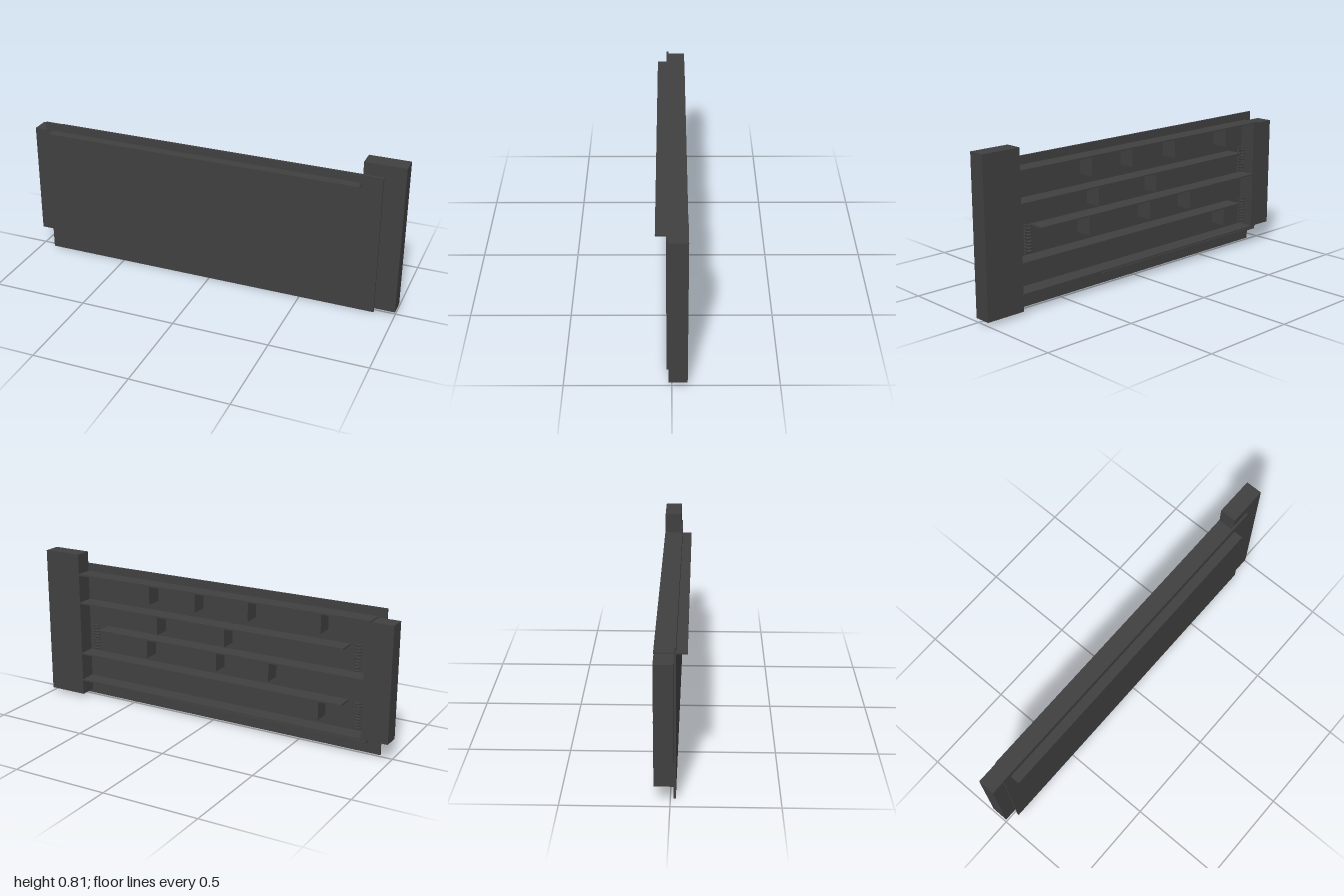
import * as THREE from 'three';

export function createModel() {
  const group = new THREE.Group();
  const material = new THREE.MeshStandardMaterial({ color: 0x404040 });
  const BACK = -0.073, WALL = 0.015; // depth of the space behind the panel

  // Box given by its limits on each axis
  function box(name, x0, x1, y0, y1, z0 = BACK, z1 = WALL) {
    const mesh = new THREE.Mesh(new THREE.BoxGeometry(x1 - x0, y1 - y0, z1 - z0), material);
    mesh.position.set((x0 + x1) / 2, (y0 + y1) / 2, (z0 + z1) / 2);
    mesh.name = name;
    group.add(mesh);
  }

  // Front panel and the two end posts
  box('frontPanel', -0.93, 0.893, 0, 0.745, WALL, 0.025);
  box('tallPost', 0.79, 1, 0.018, 0.81);
  box('shortPost', -1, -0.86, 0.103, 0.697);

  // Shelves: [left end, right end, top height]; the top one passes through the panel as a ledge
  const T = 0.008;
  const shelves = [
    [-0.887, 0.79, 0.703], [-0.752, 0.79, 0.545], [-0.966, 0.673, 0.408],
    [-0.752, 0.79, 0.258], [-0.887, 0.79, 0.105],
  ];
  shelves.forEach(([x0, x1, y], i) =>
    box('shelf' + (i + 1), x0, x1, y - T, y, BACK - 0.002, i === 0 ? 0.075 : WALL));
  box('lowerBoard', -0.887, 0.281, 0.084, 0.093);

  // Short dividers hanging below the shelves
  const dividers = [
    [0.35, 0.077, -0.229, -0.624], [0.306, -0.094], [0.371, -0.048, -0.348], [-0.624],
  ];
  dividers.forEach((row, i) => {
    const top = shelves[i][2] - T;
    for (const x of row) box('divider', x - T, x, top - 0.097, top);
  });

  // Upright coil springs at the open shelf ends
  class Helix extends THREE.Curve {
    getPoint(t, target = new THREE.Vector3()) {
      const a = t * 9 * Math.PI * 2;
      return target.set(0.017 * Math.cos(a), (t - 0.5) * 0.145, 0.017 * Math.sin(a));
    }
  }
  const coil = new THREE.TubeGeometry(new Helix(), 180, 0.0035, 6);
  for (const [x, y] of [[0.72, 0.353], [-0.808, 0.495], [-0.82, 0.2]]) {
    const spring = new THREE.Mesh(coil, material);
    spring.position.set(x, y, -0.028);
    spring.name = 'coilSpring';
    group.add(spring);
  }
  return group;
}
